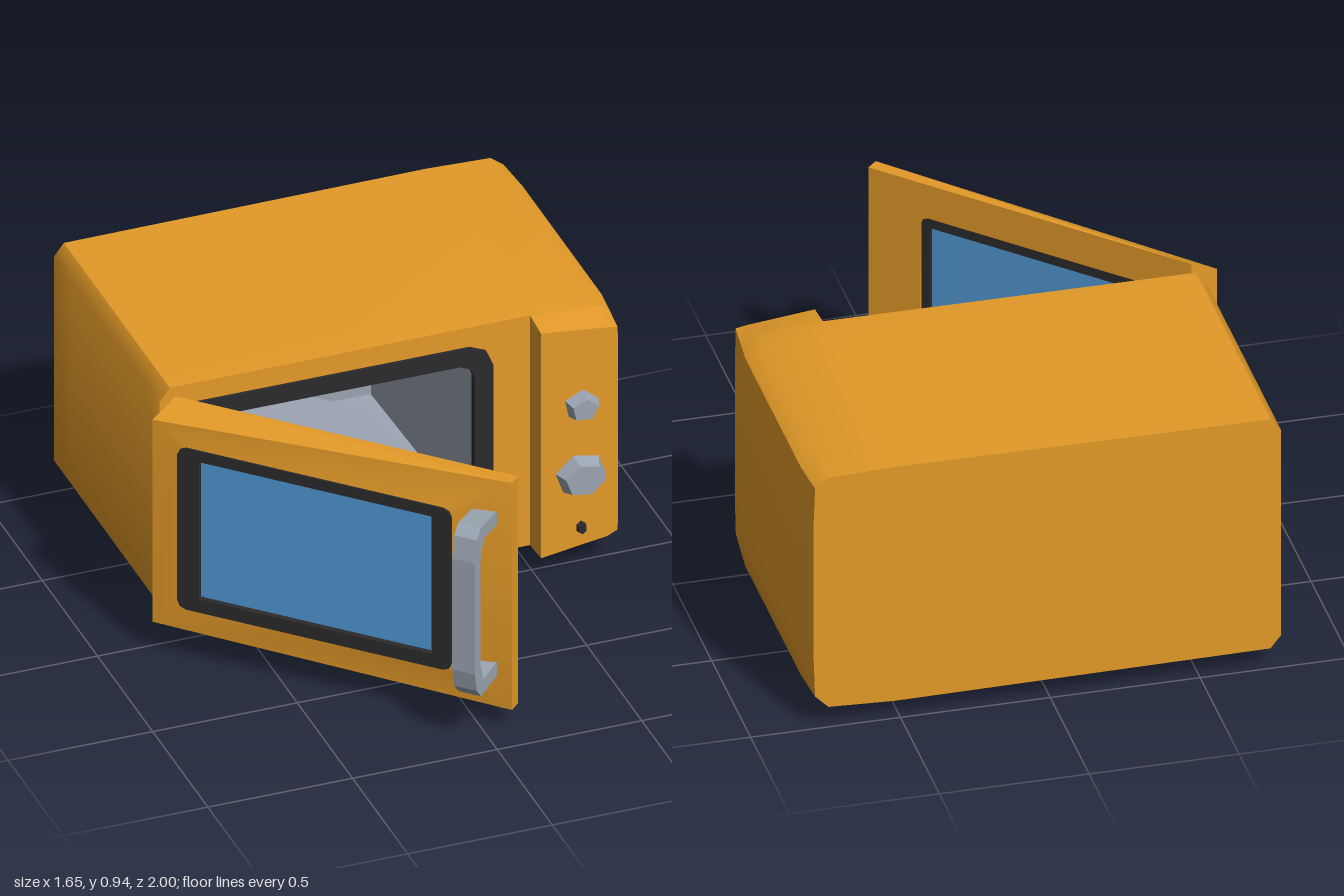
import * as THREE from 'three';
import { toCreasedNormals } from 'three/addons/utils/BufferGeometryUtils.js';

const paint = (name, color) => new THREE.MeshStandardMaterial({ name, color, side: THREE.DoubleSide });

// Skin between equal-length counterclockwise [x, y] sections at rising z, with optional end caps
function loft(sections, zs, capBack, capFront, crease = 0.7) {
  const n = sections[0].length, pos = [], index = [];
  sections.forEach((s, k) => s.forEach(([x, y]) => pos.push(x, y, zs[k])));
  for (let k = 0; k < sections.length - 1; k++) {
    for (let i = 0; i < n; i++) {
      const j = (i + 1) % n, a = k * n + i, b = k * n + j;
      index.push(a, b, b + n, a, b + n, a + n);
    }
  }
  const cap = (k, flip) => {
    const pts = sections[k].map(([x, y]) => new THREE.Vector2(x, y));
    THREE.ShapeUtils.triangulateShape(pts, []).forEach(([a, b, c]) =>
      index.push(k * n + a, k * n + (flip ? c : b), k * n + (flip ? b : c)));
  };
  if (capBack) cap(0, true);
  if (capFront) cap(sections.length - 1, false);
  const g = new THREE.BufferGeometry();
  g.setAttribute('position', new THREE.Float32BufferAttribute(pos, 3));
  g.setIndex(index);
  return toCreasedNormals(g, crease);
}

const rect = (x0, y0, x1, y1) => [[x0, y0], [x1, y0], [x1, y1], [x0, y1]];
const toShape = (pts) => new THREE.Shape(pts.map(([x, y]) => new THREE.Vector2(x, y)));

// Rectangle with cut corners
const cutRect = (x0, y0, x1, y1, c) => [
  [x0 + c, y0], [x1 - c, y0], [x1 - c * 0.3, y0 + c * 0.3], [x1, y0 + c],
  [x1, y1 - c], [x1 - c * 0.3, y1 - c * 0.3], [x1 - c, y1], [x0 + c, y1],
  [x0 + c * 0.3, y1 - c * 0.3], [x0, y1 - c], [x0, y0 + c], [x0 + c * 0.3, y0 + c * 0.3],
];

function ring(outer, inner, depth) {
  const shape = toShape(outer);
  shape.holes.push(toShape(inner));
  return new THREE.ExtrudeGeometry(shape, { depth, bevelEnabled: false });
}

// Bulging right-hand outline, from the bottom to the top
const rightSide = (xr, xc, e) => [
  [0.52, 0.065 + e * 0.3], [0.74, 0.075 + e], [xc, 0.12 + e * 0.2], [xr, 0.27],
  [xr, 0.76], [xc, 0.9 - e * 0.2], [0.74, 0.935 - e], [0.52, 0.943 - e * 0.5],
];

export function createModel() {
  const orange = paint('orange enamel', 0xe39a28);
  const grey = paint('grey metal', 0x9ba5b2);
  const black = paint('black rubber', 0x2b2b2d);
  const blue = paint('blue glass', 0x529ad6);

  const model = new THREE.Group();
  const add = (name, geometry, material, parent = model) => {
    const mesh = new THREE.Mesh(geometry, material);
    mesh.name = name;
    parent.add(mesh);
    return mesh;
  };

  // Cabinet shell, open at the front
  const section = (...p) => [[-0.735, 0.075], ...rightSide(...p), [-0.735, 0.935], [-0.77, 0.89], [-0.77, 0.12]];
  const front = section(0.8, 0.785, 0.01);
  add('cabinet', loft(
    [section(0.79, 0.785, 0), section(0.825, 0.795, 0), section(0.825, 0.795, 0), front],
    [-1, -0.85, -0.14, -0.04], true, false), orange);

  // Front face around the opening
  const opening = cutRect(-0.72, 0.12, 0.38, 0.865, 0.08);
  const face = toShape(front);
  face.holes.push(toShape(opening));
  add('frontFace', new THREE.ShapeGeometry(face), orange).position.z = -0.04;

  // Door seal
  add('doorSeal', ring(opening, cutRect(-0.655, 0.185, 0.315, 0.8, 0.05), 0.03), black).position.z = -0.06;

  // Oven cavity with turntable
  add('cavity', loft([rect(-0.64, 0.21, 0.28, 0.79), rect(-0.67, 0.17, 0.33, 0.82)],
    [-0.88, -0.05], true, false, 0.3), grey);
  const roller = add('rollerRing', new THREE.TorusGeometry(0.31, 0.015, 4, 24), black);
  roller.rotation.x = Math.PI / 2;
  roller.position.set(-0.17, 0.23, -0.48);
  add('turntable', new THREE.CylinderGeometry(0.38, 0.3, 0.05, 12), grey).position.set(-0.17, 0.28, -0.48);

  // Control panel projecting forward on the right
  const panelSection = (xr, xc, e) => {
    const s = rightSide(xr, xc, e);
    s[0][0] = s[7][0] = 0.51;
    return s;
  };
  add('controlPanel', loft([panelSection(0.8, 0.785, 0.01), panelSection(0.777, 0.775, 0.035)],
    [-0.04, 0.06], false, true, 0.6), orange);

  // Knobs and button
  for (const [name, y, rx, ry, sides, turn, mat] of [
    ['powerKnob', 0.63, 0.063, 0.055, 5, 0.5, grey],
    ['timerKnob', 0.365, 0.092, 0.08, 6, 0.3, grey],
    ['button', 0.165, 0.02, 0.025, 6, 0, black],
  ]) {
    const geo = new THREE.CylinderGeometry(0.75, 1, 0.05, sides).rotateY(turn).rotateX(Math.PI / 2);
    const knob = add(name, geo.toNonIndexed(), mat);
    knob.geometry.computeVertexNormals();
    knob.scale.set(rx, ry, mat === black ? 0.5 : 1);
    knob.position.set(0.648, y, mat === black ? 0.065 : 0.08);
  }

  // Pointed feet
  for (const x of [-0.615, 0.6]) {
    for (const z of [-0.1, -0.89]) {
      const geo = new THREE.ConeGeometry(0.055, 0.085, 5).rotateX(Math.PI).toNonIndexed();
      geo.computeVertexNormals();
      add('foot', geo, black).position.set(x, 0.0425, z);
    }
  }

  // Door, swung open on its left edge
  const door = new THREE.Group();
  door.name = 'door';
  door.position.x = -0.78;
  door.rotation.y = -Math.PI / 4;
  model.add(door);

  // Slab with window hole; the outer face tapers towards the hinge corners and the free edge
  const hole = cutRect(0.09, 0.2, 1.06, 0.81, 0.03);
  const slab = ring(rect(0, 0.075, 1.253, 0.935), hole, 1);
  const p = slab.attributes.position;
  for (let i = 0; i < p.count; i++) {
    const u = p.getX(i), y = p.getY(i), outer = p.getZ(i) > 0.5;
    p.setZ(i, outer ? (u > 1.2 ? 0.025 : 0.068) : -0.021);
    if (u < 0.05) {
      if (outer) p.setY(i, y > 0.5 ? 0.885 : 0.12);
      else p.setX(i, 0.042);
    }
  }
  add('doorSlab', toCreasedNormals(slab, 0.5), orange, door);

  // Window frame and panes
  add('windowFrame', ring(hole, rect(0.165, 0.25, 0.99, 0.77), 0.03), black, door).position.z = 0.045;
  add('innerWindowFrame', ring(hole, rect(0.14, 0.235, 1.03, 0.77), 0.02), black, door).position.z = -0.012;
  const pane = add('windowGlass', new THREE.BoxGeometry(0.94, 0.58, 0.05), blue, door);
  pane.position.set(0.575, 0.505, 0.03);

  // Handle: bent bar profile pushed across its width
  const bar = toShape([
    [0.03, 0.82], [0.16, 0.83], [0.195, 0.8], [0.21, 0.72], [0.21, 0.3], [0.195, 0.23], [0.16, 0.19], [0.03, 0.2],
    [0.03, 0.25], [0.14, 0.245], [0.165, 0.31], [0.165, 0.71], [0.14, 0.775], [0.03, 0.77],
  ]);
  const handle = add('handle', new THREE.ExtrudeGeometry(bar, { depth: 0.08, bevelEnabled: false }), grey, door);
  handle.rotation.y = -Math.PI / 2;
  handle.position.x = 1.204;

  return model;
}
